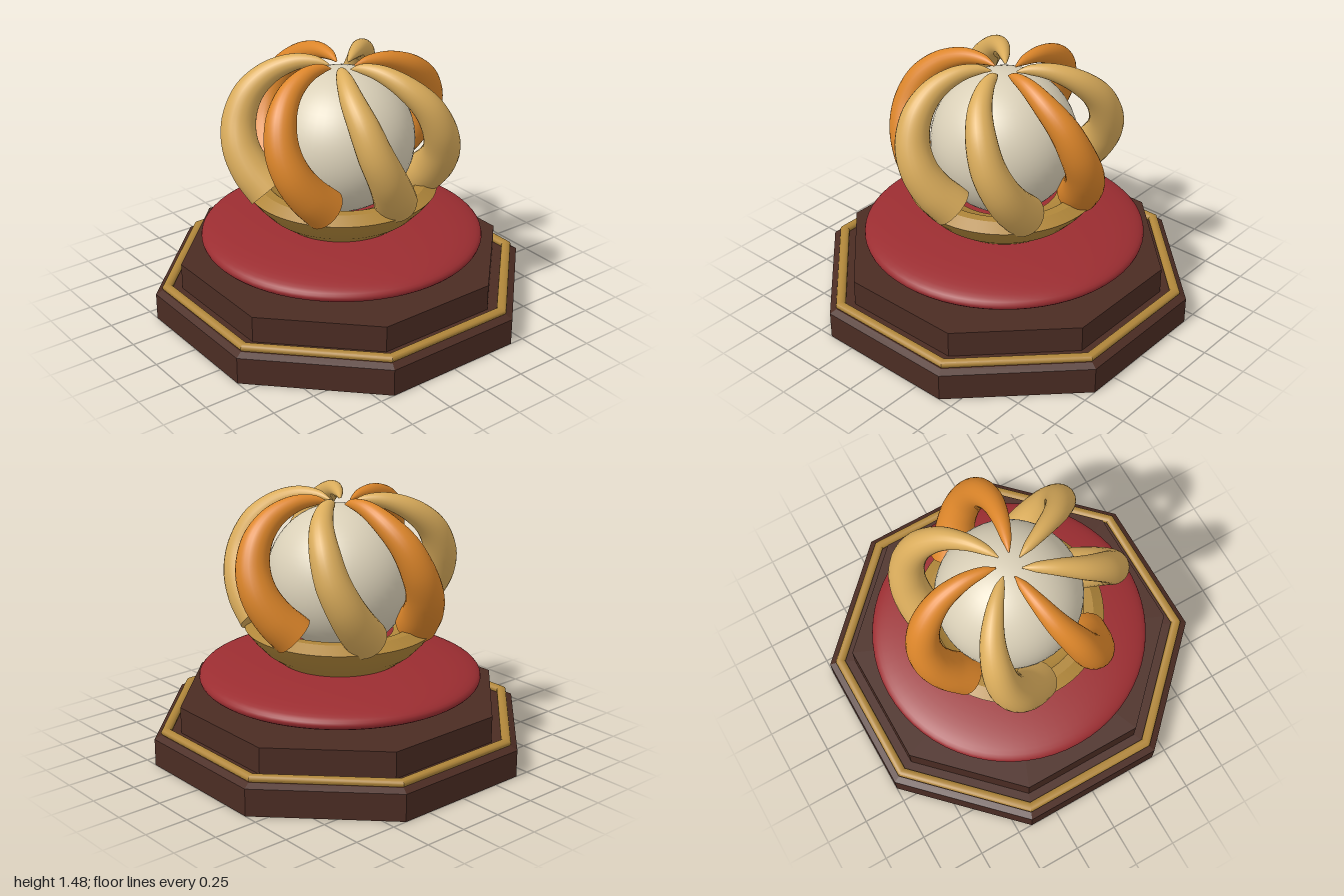
import * as THREE from 'three';
import { toCreasedNormals } from 'three/addons/utils/BufferGeometryUtils.js';

const mat = (name, color, extra = {}) =>
  Object.assign(new THREE.MeshStandardMaterial({ color, ...extra }), { name });

export function createModel() {
  const model = new THREE.Group();
  model.name = 'crownedOrbOnPlinth';
  const wood = mat('dark wood', 0x4b2c23);
  const trim = mat('aged gold', 0xb0863a);
  const velvet = mat('red velvet', 0x9b2d31);
  const paleGold = mat('pale gold', 0xdbad5c);
  const orange = mat('orange gold', 0xdd862a);
  const ivory = mat('ivory', 0xdad0b8);

  const add = (name, geometry, material, parent = model) => {
    const mesh = new THREE.Mesh(geometry, material);
    mesh.name = name;
    parent.add(mesh);
    return mesh;
  };
  const V2 = ([x, y]) => new THREE.Vector2(x, y);

  // Octagonal solids, profile given as [distance to flat side, height]
  const octagon = (name, profile, material, crease) => {
    const pts = profile.map(([a, y]) => V2([a / Math.cos(Math.PI / 8), y]));
    const geo = new THREE.LatheGeometry(pts, 8).rotateY(Math.PI / 8);
    add(name, toCreasedNormals(geo, crease), material);
  };
  octagon('plinthBase', [[0, 0], [1, 0], [1, 0.155], [0.965, 0.174], [0, 0.174]], wood, 0.2);
  octagon('plinthStep', [[0.86, 0.17], [0.86, 0.325], [0, 0.325]], wood, 0.2);
  const bead = [];
  for (let i = 0; i <= 16; i++) {
    const a = (i / 16) * Math.PI * 2;
    bead.push([0.938 + 0.027 * Math.cos(a), 0.19 + 0.022 * Math.sin(a)]);
  }
  octagon('plinthMoulding', bead, trim, 0.6);

  // Cushion: a flattened, slightly squared-off round
  const cushion = [];
  for (let i = 0; i <= 32; i++) {
    const a = -Math.PI / 2 + (i / 32) * Math.PI;
    const s = Math.sin(a);
    cushion.push(V2([0.8 * Math.pow(Math.max(0, Math.cos(a)), 0.9),
      0.432 + 0.106 * Math.sign(s) * Math.pow(Math.abs(s), 0.9)]));
  }
  add('cushion', new THREE.LatheGeometry(cushion, 64), velvet);

  // Cup holding the orb
  const cup = [[0, 0.53], [0.35, 0.53], [0.43, 0.59], [0.49, 0.655], [0.537, 0.717],
    [0.475, 0.757], [0.42, 0.755], [0.38, 0.72], [0.3, 0.69]].map(V2);
  add('cup', toCreasedNormals(new THREE.LatheGeometry(cup, 64), 0.5), trim);

  add('orb', new THREE.SphereGeometry(0.41, 48, 32).translate(0, 1, 0), ivory);

  // Twisting ribs: [distance from axis, height, twist in degrees, thickness]
  const rib = [
    [0.45, 0.775, -16, 0.12], [0.52, 0.88, -7, 0.112], [0.565, 1.0, 0, 0.103],
    [0.565, 1.13, 6, 0.095], [0.51, 1.27, 11, 0.083], [0.4, 1.375, 16, 0.066],
    [0.26, 1.435, 20, 0.047], [0.14, 1.442, 24, 0.028], [0.07, 1.425, 29, 0.004],
  ];
  const curve = new THREE.CatmullRomCurve3(rib.map(([r, y, deg]) => {
    const a = THREE.MathUtils.degToRad(deg);
    return new THREE.Vector3(r * Math.cos(a), y, r * Math.sin(a));
  }));
  const rings = 48, sides = 24;
  const ribGeo = new THREE.TubeGeometry(curve, rings, 1, sides);
  const pos = ribGeo.attributes.position;
  const v = new THREE.Vector3();
  for (let i = 0; i <= rings; i++) {
    // taper each ring about its centre
    const centre = curve.getPointAt(i / rings);
    const t = curve.getUtoTmapping(i / rings) * (rib.length - 1);
    const k = Math.min(Math.floor(t), rib.length - 2);
    const radius = THREE.MathUtils.lerp(rib[k][3], rib[k + 1][3], t - k);
    for (let j = 0; j <= sides; j++) {
      const n = i * (sides + 1) + j;
      v.fromBufferAttribute(pos, n).sub(centre).multiplyScalar(radius).add(centre);
      pos.setXYZ(n, v.x, v.y, v.z);
    }
  }
  const foot = curve.getPointAt(0);
  const footTarget = foot.clone().sub(curve.getTangentAt(0));
  const colours = [orange, paleGold, paleGold, orange, paleGold, orange, paleGold];
  colours.forEach((material, i) => {
    const group = new THREE.Group();
    group.name = 'rib' + (i + 1);
    add('ribArm', ribGeo, material, group);
    const cap = add('ribFoot', new THREE.CircleGeometry(rib[0][3], sides), material, group);
    cap.position.copy(foot);
    cap.lookAt(footTarget);
    group.rotation.y = Math.PI / 2 - (i * Math.PI * 2) / 7;
    model.add(group);
  });

  return model;
}
